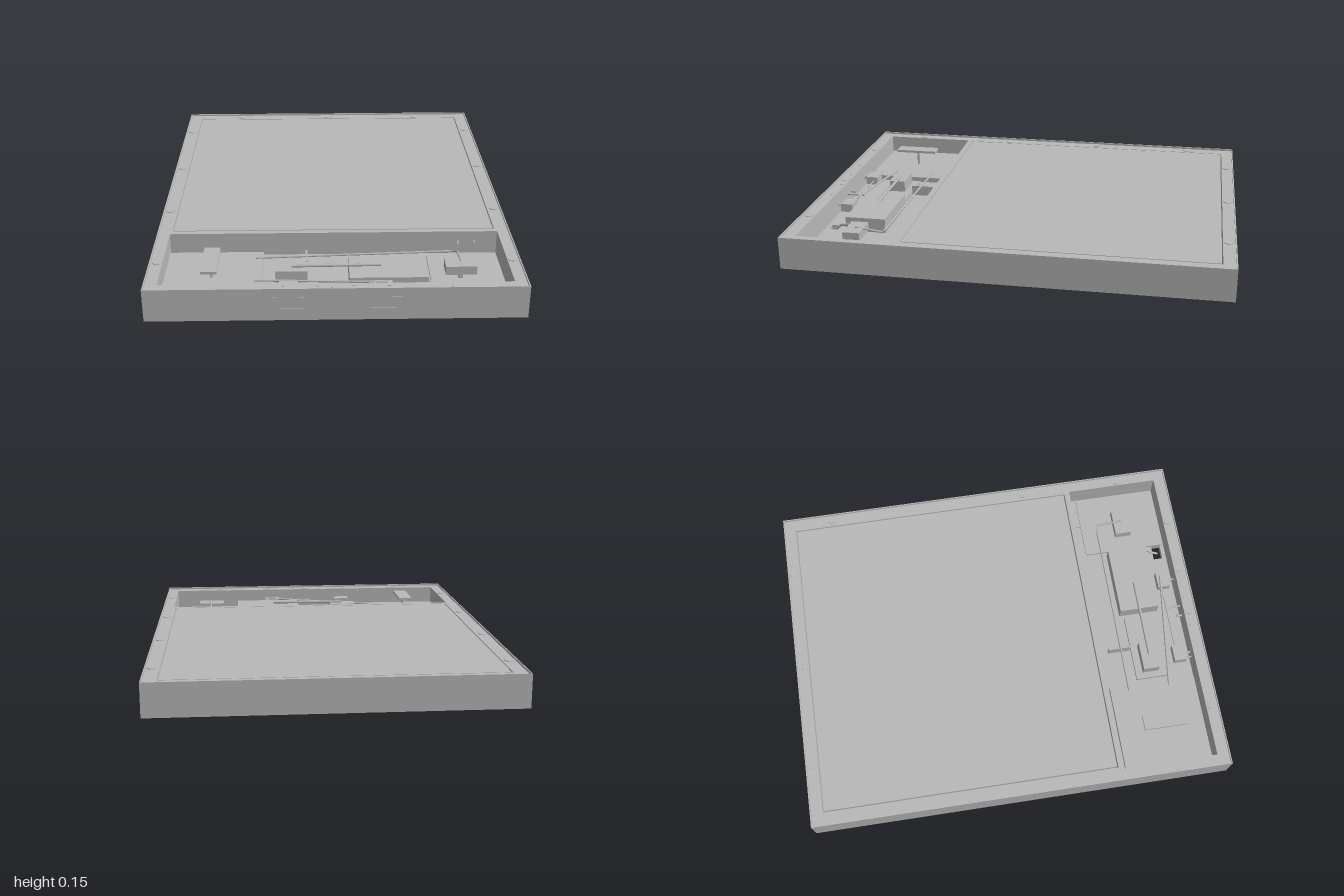
import * as THREE from 'three';

const grey = new THREE.MeshStandardMaterial({ color: 0xb8b8b8 });
grey.name = 'caseGrey';

export function createModel() {
  const model = new THREE.Group();
  model.name = 'controlPanel';

  const add = (name, geometry) => {
    const mesh = new THREE.Mesh(geometry, grey);
    mesh.name = name;
    model.add(mesh);
    return mesh;
  };
  // Block given by its limits on each axis
  const block = (name, x0, x1, y0, y1, z0, z1) => {
    const mesh = add(name, new THREE.BoxGeometry(x1 - x0, y1 - y0, z1 - z0));
    mesh.position.set((x0 + x1) / 2, (y0 + y1) / 2, (z0 + z1) / 2);
    return mesh;
  };
  // Rectangle and circle in plan, with z turned into shape -y
  const rect = (x0, x1, z0, z1, Type = THREE.Path) => new Type([
    [x0, -z1], [x1, -z1], [x1, -z0], [x0, -z0],
  ].map(([x, y]) => new THREE.Vector2(x, y)));
  const circle = (x, z, r) => new THREE.Path().absarc(x, -z, r, 0, Math.PI * 2);
  // Horizontal slab with holes
  const slab = (name, outline, holes, y0, y1) => {
    outline.holes.push(...holes);
    const geo = new THREE.ExtrudeGeometry(outline, { depth: y1 - y0, bevelEnabled: false, curveSegments: 12 });
    geo.rotateX(-Math.PI / 2).translate(0, y0, 0);
    return add(name, geo);
  };
  // Round wire running through straight segments
  const wire = (name, points, r = 0.005) => {
    const path = new THREE.CurvePath();
    const v = points.map((p) => new THREE.Vector3(...p));
    for (let i = 1; i < v.length; i++) path.add(new THREE.LineCurve3(v[i - 1], v[i]));
    add(name, new THREE.TubeGeometry(path, 24, r, 8));
  };

  // Case: floor, thin outer lip, and deck with openings
  slab('floor', rect(-0.795, 0.795, -0.995, 0.995, THREE.Shape), [
    rect(0.345, 0.42, 0.875, 0.92),
    circle(0.74, -0.925, 0.018),
    circle(-0.74, -0.925, 0.018),
  ], 0, 0.03);
  slab('outerWall', rect(-0.8, 0.8, -1, 1, THREE.Shape), [rect(-0.795, 0.795, -0.995, 0.995)], 0, 0.15);
  slab('deck', rect(-0.795, 0.795, -0.995, 0.995, THREE.Shape), [
    rect(-0.735, 0.735, -0.94, 0.463),
    rect(-0.745, 0.745, 0.49, 0.94),
  ], 0.03, 0.14);
  block('topPanel', -0.73, 0.73, 0.03, 0.14, -0.935, 0.458);

  // Screws around the deck
  const screw = (x, z, r) => {
    add('screw', new THREE.CylinderGeometry(r, r, 0.004, 16)).position.set(x, 0.141, z);
  };
  for (const z of [-0.75, -0.25, 0.25, 0.75]) for (const x of [-0.768, 0.768]) screw(x, z, 0.022);
  for (const x of [-0.5, 0, 0.5]) for (const z of [-0.967, 0.967]) screw(x, z, 0.022);
  for (const x of [-0.22, -0.075, 0.075, 0.22]) screw(x, 0.96, 0.007);

  // Boards and modules in the compartment
  block('mainBoard', -0.745, -0.32, 0.03, 0.055, 0.51, 0.935);
  block('sideBoard', 0.42, 0.73, 0.03, 0.04, 0.53, 0.93);
  block('centreBoard', -0.29, 0.04, 0.03, 0.045, 0.655, 0.81);
  block('battery', 0.06, 0.4, 0.03, 0.1, 0.635, 0.83);
  block('smallModule', -0.26, -0.12, 0.045, 0.1, 0.69, 0.77);
  block('sideModule', 0.48, 0.615, 0.075, 0.115, 0.69, 0.77);
  block('sideModulePost', 0.54, 0.56, 0.04, 0.075, 0.72, 0.74);
  block('raisedPlate', -0.575, -0.505, 0.13, 0.142, 0.625, 0.84);
  block('raisedPlatePost', -0.545, -0.535, 0.055, 0.13, 0.725, 0.735);

  // Connectors behind the front ports, with the port frames
  for (const s of [-1, 1]) {
    const x = s * 0.2;
    block('connector', x - 0.04, x + 0.04, 0.06, 0.1, 0.85, 0.91);
    const frame = new THREE.Shape();
    frame.moveTo(-0.07, -0.03).lineTo(0.07, -0.03).lineTo(0.07, 0.03).lineTo(-0.07, 0.03).closePath();
    const gap = new THREE.Path();
    gap.moveTo(-0.06, -0.022).lineTo(0.06, -0.022).lineTo(0.06, 0.022).lineTo(-0.06, 0.022).closePath();
    frame.holes.push(gap);
    add('portFrame', new THREE.ExtrudeGeometry(frame, { depth: 0.003, bevelEnabled: false }))
      .position.set(x, 0.08, 0.999);
    wire('connectorLead', [[x, 0.08, 0.9], [x, 0.08, 0.945]]);
  }
  const button = add('frontButton', new THREE.CylinderGeometry(0.012, 0.012, 0.003, 20));
  button.rotation.x = Math.PI / 2;
  button.position.set(0, 0.077, 1);
  add('buttonStem', new THREE.CylinderGeometry(0.006, 0.006, 0.03, 10).rotateX(Math.PI / 2))
    .position.set(0, 0.077, 0.93);

  // Wiring
  wire('longWire', [[-0.35, 0.075, 0.6], [0.55, 0.1, 0.6], [0.55, 0.118, 0.73]]);
  wire('batteryWire', [[-0.19, 0.105, 0.73], [0.2, 0.108, 0.73]], 0.007);
  wire('diagonalWire', [[-0.35, 0.075, 0.8], [0.22, 0.102, 0.87]]);
  wire('connectorWire', [[-0.2, 0.08, 0.87], [0.2, 0.08, 0.87]], 0.003);
  wire('drainWire', [[0.42, 0.07, 0.8], [0.38, 0.05, 0.86], [0.38, 0.02, 0.9]], 0.006);
  wire('buttonWire', [[0.05, 0.08, 0.85], [0.05, 0.08, 0.945]]);
  wire('leadWire', [[-0.225, 0.08, 0.86], [-0.225, 0.08, 0.945]]);
  block('centreRib', -0.13, -0.12, 0.03, 0.08, 0.54, 0.65);
  wire('panelLead', [[0.57, 0.09, 0.485], [0.56, 0.09, 0.52]]);
  wire('panelLead', [[0.64, 0.09, 0.485], [0.64, 0.09, 0.52]]);

  return model;
}
